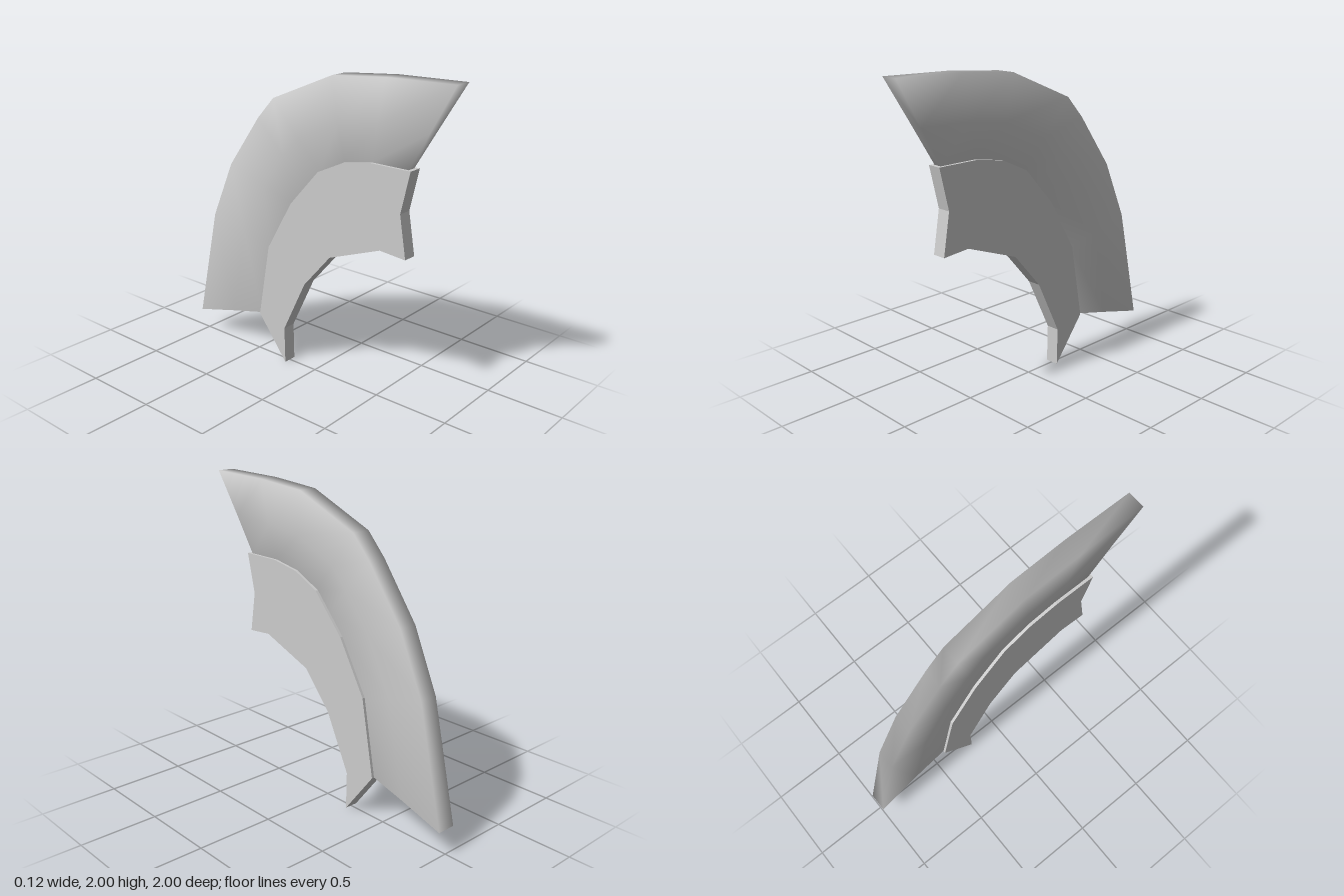
import * as THREE from 'three';

const material = new THREE.MeshStandardMaterial({ color: 0xcccccc });

// Arc shared by the plate and the blade, as [z, y] from the front end to the lower end
const seam = [[0.45, 1.49], [0.25, 1.455], [0.06, 1.365], [-0.16, 1.12], [-0.355, 0.785], [-0.445, 0.29]];

// Flat mounting plate: an outline extruded across x
function makePlate() {
  const outline = [
    [0.725, 1.49], ...seam,
    [-0.22, 0], [-0.225, 0.245], [-0.05, 0.605], [0.155, 0.84],
    [0.53, 0.98], [0.71, 0.965], [0.665, 1.23],
  ];
  const shape = new THREE.Shape(outline.map(([z, y]) => new THREE.Vector2(z, y)));
  const geometry = new THREE.ExtrudeGeometry(shape, { depth: 0.09, bevelEnabled: false });
  geometry.translate(0, 0, -0.045).rotateY(-Math.PI / 2);
  const mesh = new THREE.Mesh(geometry, material);
  mesh.name = 'mountingPlate';
  return mesh;
}

// Curved blade: six-point cross-sections, thin at the seam and thick at the rim
function makeBlade() {
  const inner = [[0.7, 1.49], ...seam.slice(0, 3), [-0.05, 1.243], ...seam.slice(3)];
  const outer = [[1, 2], [0.55, 1.99], [0.18, 1.96], [-0.28, 1.77],
    [-0.41, 1.63], [-0.66, 1.29], [-0.83, 0.91], [-1, 0.16]];
  const last = inner.length - 1;
  const positions = [];
  const index = [];
  const quad = (a, b, c, d) => index.push(a, b, c, a, c, d);

  inner.forEach(([zi, yi], i) => {
    const [zo, yo] = outer[i];
    const isEnd = i === 0 || i === last;
    const zm = THREE.MathUtils.lerp(zi, zo, 0.45);
    const ym = THREE.MathUtils.lerp(yi, yo, 0.45);
    const midWidth = isEnd ? 0.038 : 0.052;
    const rimWidth = i === 0 ? 0.056 : 0.061;
    const half = [[0.027, yi, zi], [midWidth, ym, zm], [rimWidth, yo, zo]];
    half.forEach((p) => positions.push(...p));
    half.reverse().forEach(([x, y, z]) => positions.push(-x, y, z));
  });

  // Skin between neighbouring sections
  for (let i = 0; i < last; i++) {
    for (let j = 0; j < 6; j++) {
      const k = (j + 1) % 6;
      quad(i * 6 + j, (i + 1) * 6 + j, (i + 1) * 6 + k, i * 6 + k);
    }
  }
  // End faces
  quad(0, 1, 4, 5);
  quad(1, 2, 3, 4);
  const e = last * 6;
  quad(e + 5, e + 4, e + 1, e);
  quad(e + 4, e + 3, e + 2, e + 1);

  const geometry = new THREE.BufferGeometry();
  geometry.setAttribute('position', new THREE.Float32BufferAttribute(positions, 3));
  geometry.setIndex(index);
  geometry.computeVertexNormals();
  const mesh = new THREE.Mesh(geometry, material);
  mesh.name = 'curvedBlade';
  return mesh;
}

export function createModel() {
  const group = new THREE.Group();
  group.name = 'bladeSegment';
  group.add(makePlate(), makeBlade());
  return group;
}
